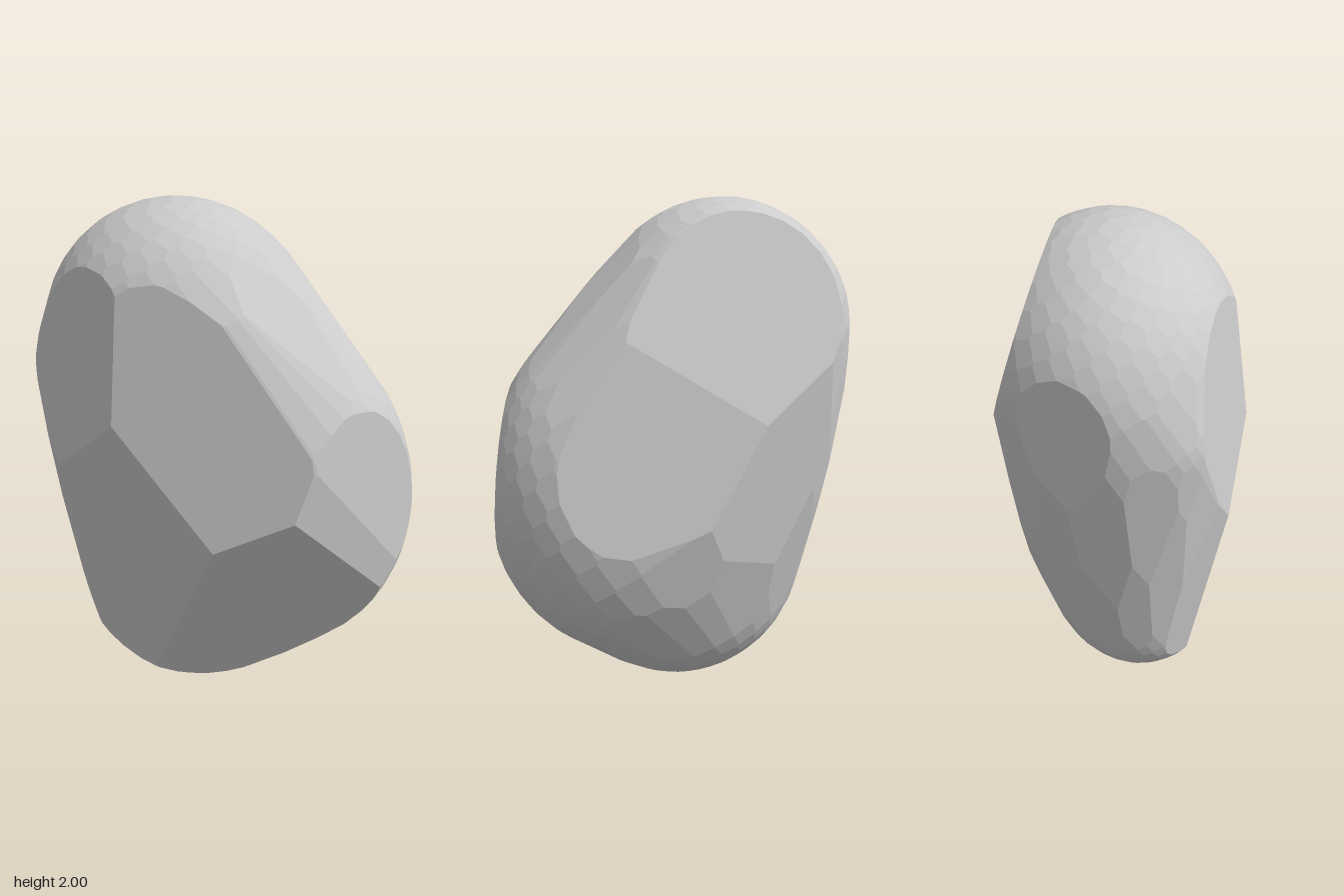
import * as THREE from 'three';
import { ConvexGeometry } from 'three/addons/geometries/ConvexGeometry.js';

const V = (x, y, z) => new THREE.Vector3(x, y, z);

// Rounded body: hull of ellipsoids, [centre, radii]
const blobs = [
  [V(-0.22, 1.45, -0.03), V(0.55, 0.55, 0.48)], // upper
  [V(0.1, 0.89, 0.04), V(0.665, 0.73, 0.45)],   // side bulge
  [V(-0.12, 0.5, 0.07), V(0.53, 0.5, 0.4)],     // lower
  [V(-0.15, 1.0, 0.03), V(0.57, 0.5, 0.51)],    // core
  [V(-0.6, 1.35, 0.08), V(0.175, 0.25, 0.23)],  // shoulder
];

// Large flat cuts: normal and offset, n . p <= h
const cuts = [
  [V(0.13, 0.15, 1), 0.613],    // front, upper
  [V(-0.22, -0.17, 1), 0.3175], // front, lower
  [V(-0.48, 0.15, 1), 0.784],   // front, upper corner
  [V(-1, -0.25, 0.9), 0.656],   // front, narrow edge
  [V(0.452, -0.5, 1), 0.145],   // front, underside
  [V(1, -0.1, 1), 0.75],        // front, bulge side
  [V(1, 0.1, 0.7), 0.862],      // front, bulge rim
  [V(0.22, 0.31, -1), 0.8],     // back, upper
  [V(0.34, 0.13, -1), 0.574],   // back, side
  [V(-0.09, -0.13, -1), 0.328], // back, lower
  [V(0.05, -0.32, -1), 0.217],  // back, underside
  [V(-0.7, -0.05, -1), 0.725],  // back, far edge
  [V(-1, 0, -0.6), 0.82],       // back, far rim
];

// Distance from the origin to the body's tangent plane with normal n
const support = (n) => Math.max(...blobs.map(([c, r]) => c.dot(n) + r.clone().multiply(n).length()));

// The solid bounded by all planes, found through its polar dual about a centre
function solidFromPlanes(planes, centre) {
  const dual = planes.map(([n, h]) => n.clone().divideScalar(h - n.dot(centre)));
  const pos = new ConvexGeometry(dual).attributes.position;
  const corners = [], seen = new Set();
  const tri = new THREE.Triangle(), normal = V(0, 0, 0);
  for (let i = 0; i < pos.count; i += 3) {
    tri.setFromAttributeAndIndices(pos, i, i + 1, i + 2);
    tri.getNormal(normal);
    const d = normal.dot(tri.a);
    if (!(d > 1e-4)) continue;
    const p = normal.clone().divideScalar(d).add(centre);
    const key = p.toArray().map((v) => Math.round(v * 500)).join();
    if (!seen.has(key)) {
      seen.add(key);
      corners.push(p);
    }
  }
  return new ConvexGeometry(corners);
}

export function createModel() {
  // Small facets: evenly spread tangent planes
  const planes = [...cuts];
  const count = 550;
  for (let i = 0; i < count; i++) {
    const y = 1 - (2 * i + 1) / count, r = Math.sqrt(1 - y * y), a = i * 2.399963;
    const n = V(r * Math.cos(a), y, r * Math.sin(a));
    planes.push([n, support(n)]);
  }

  const rock = new THREE.Mesh(
    solidFromPlanes(planes, V(0, 1, 0)),
    new THREE.MeshStandardMaterial({ color: 0xcccccc, flatShading: true }),
  );
  rock.name = 'rock';
  const group = new THREE.Group();
  group.name = 'facetedRock';
  group.add(rock);
  return group;
}
